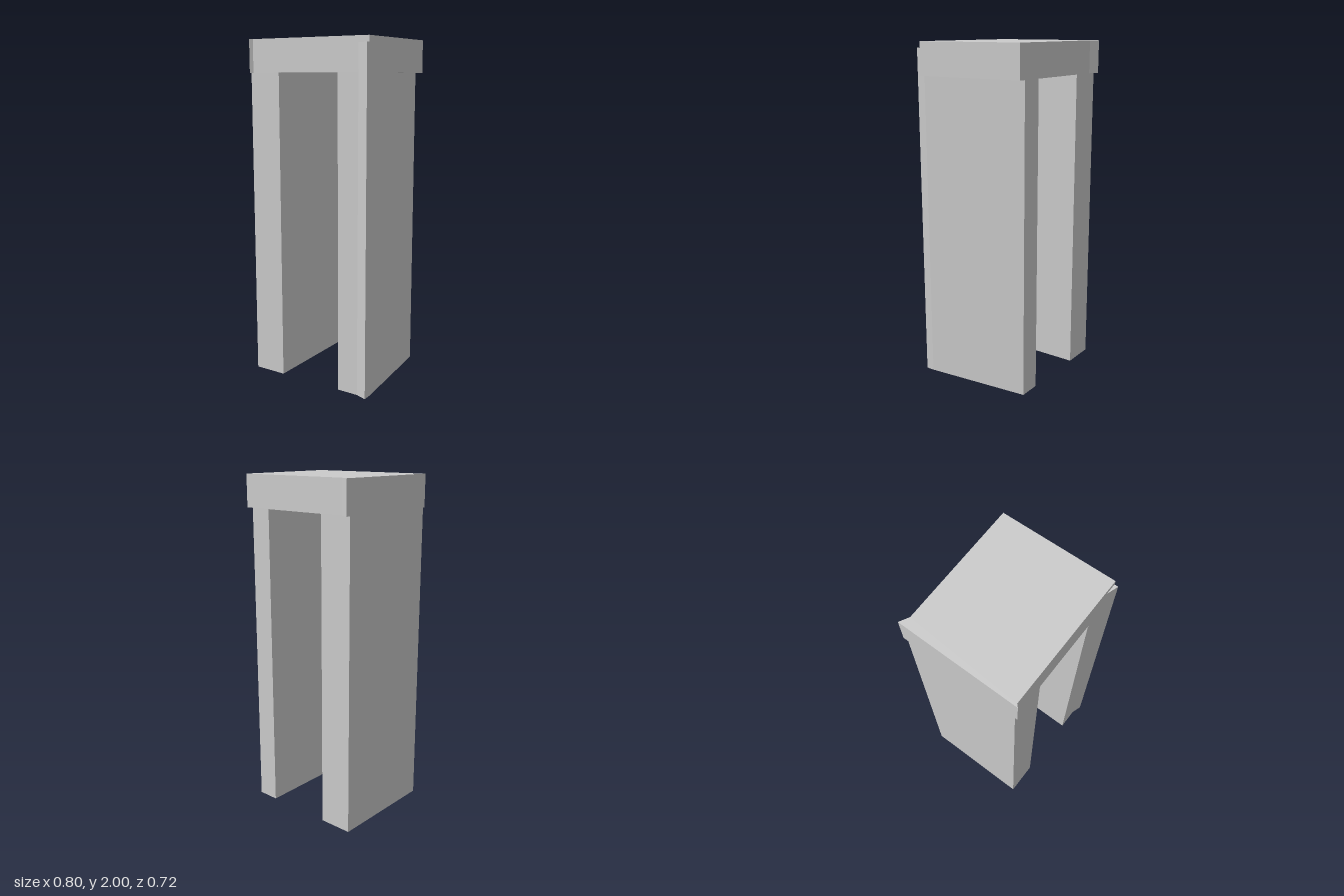
import * as THREE from 'three';

const material = new THREE.MeshStandardMaterial({ color: 0xcccccc, flatShading: true });

// Upright prism over a plan outline of [x, z] points, from y0 to y1
function prism(name, outline, y0, y1) {
  const shape = new THREE.Shape(outline.map(([x, z]) => new THREE.Vector2(x, -z)));
  const geometry = new THREE.ExtrudeGeometry(shape, { depth: y1 - y0, bevelEnabled: false });
  geometry.rotateX(-Math.PI / 2).translate(0, y0, 0);
  const mesh = new THREE.Mesh(geometry, material);
  mesh.name = name;
  return mesh;
}

export function createModel() {
  const group = new THREE.Group();
  group.name = 'gateway';
  const under = 1.81;

  // Top slab, slightly skewed, with flared corners on the right-hand side
  group.add(prism('lintel', [
    [-0.4, 0.345], [-0.385, 0.33], [0.395, 0.339],
    [0.375, -0.324], [-0.345, -0.33], [-0.4, -0.36],
  ], under, 2));

  // Straight leg
  group.add(prism('rightLeg', [
    [-0.4, 0.33], [-0.2, 0.332], [-0.2, -0.329], [-0.4, -0.33],
  ], 0, under));

  // Tapered leg, narrower at the back and flared at the front corner
  group.add(prism('leftLeg', [
    [0.2, 0.337], [0.33, 0.338], [0.395, 0.36], [0.395, 0.31],
    [0.33, -0.324], [0.2, -0.325],
  ], 0, under));

  // Flared corner of the tapered leg, running up over the slab's face
  group.add(prism('legCorner', [
    [0.33, 0.338], [0.395, 0.36], [0.395, 0.339],
  ], under, 1.965));

  return group;
}
